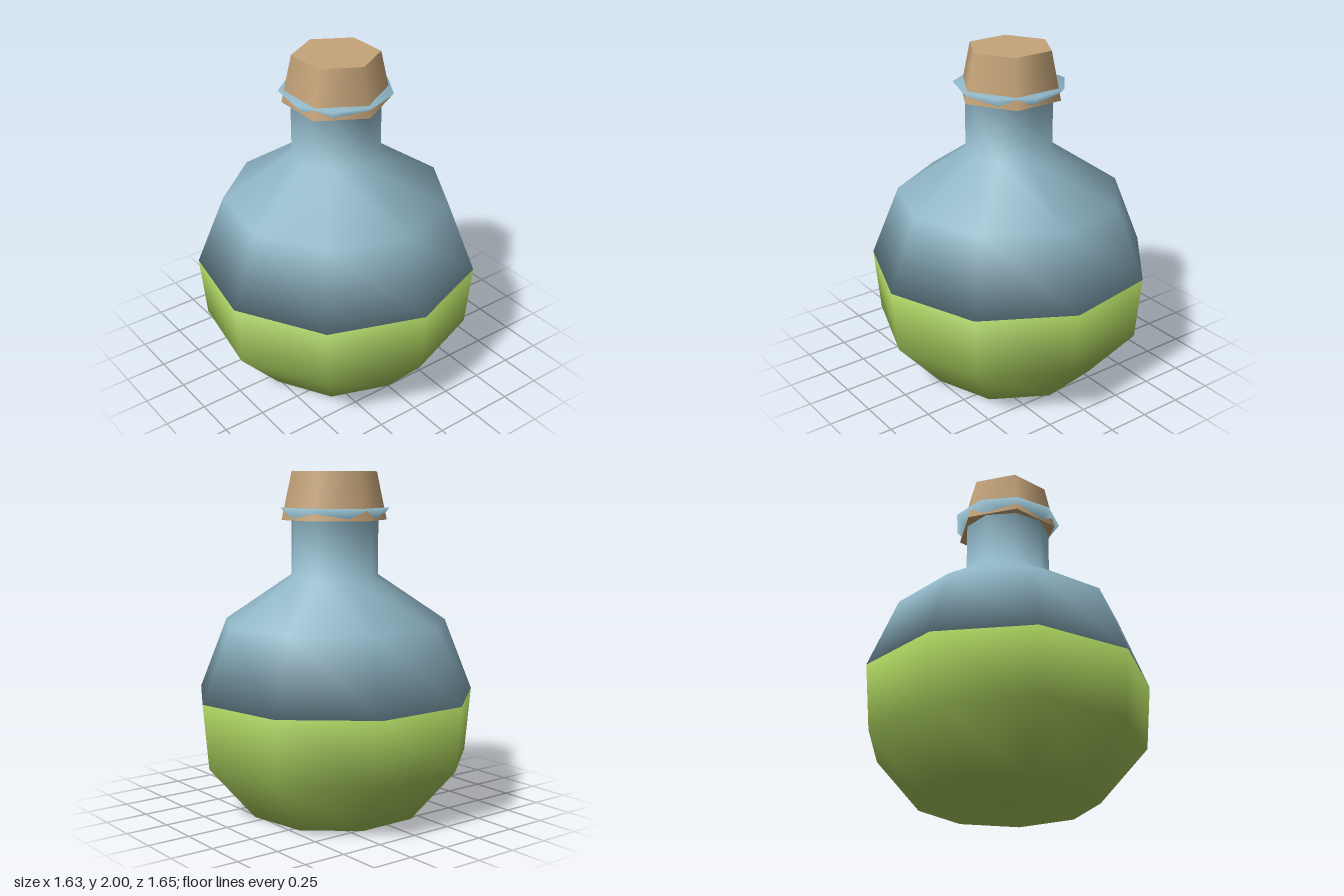
import * as THREE from 'three';
import { mergeVertices } from 'three/addons/utils/BufferGeometryUtils.js';

const SIDES = 9;

// Closed turned solid with shared vertices, so the shading is smooth all over.
function turned(profile) {
  const points = profile.map(([r, y]) => new THREE.Vector2(r, y));
  const lathe = new THREE.LatheGeometry(points, SIDES, Math.PI / 2);
  lathe.deleteAttribute('normal');
  lathe.deleteAttribute('uv');
  const geometry = mergeVertices(lathe, 1e-4);
  geometry.computeVertexNormals();
  return geometry;
}

export function createModel() {
  const glass = new THREE.MeshStandardMaterial({ name: 'blue glass', color: 0x8fb6c6 });
  const potion = new THREE.MeshStandardMaterial({ name: 'green liquid', color: 0x9fc257 });
  const corkBrown = new THREE.MeshStandardMaterial({ name: 'cork brown', color: 0xc5a479 });

  const flask = new THREE.Group();
  flask.name = 'flask';
  const add = (name, geometry, material) => {
    const mesh = new THREE.Mesh(geometry, material);
    mesh.name = name;
    flask.add(mesh);
    return mesh;
  };

  // Filled lower half
  add('liquid', turned([[0, 0], [0.526, 0], [0.804, 0.32], [0.838, 0.7], [0, 0.7]]), potion);

  // Empty upper half, neck and flared lip
  add('glassTop', turned([
    [0, 0.7], [0.838, 0.7], [0.668, 1.125], [0.26, 1.4],
    [0.26, 1.72], [0.328, 1.79], [0, 1.79],
  ]), glass);

  // Six-sided tapered stopper
  const stopper = new THREE.CylinderGeometry(0.25, 0.31, 0.28, 6, 1, false, Math.PI / 2);
  add('cork', stopper, corkBrown).position.y = 1.86;

  // The odd side count puts the axis slightly off the middle
  flask.position.x = -0.026;
  const model = new THREE.Group();
  model.name = 'corkedFlask';
  model.add(flask);
  return model;
}
